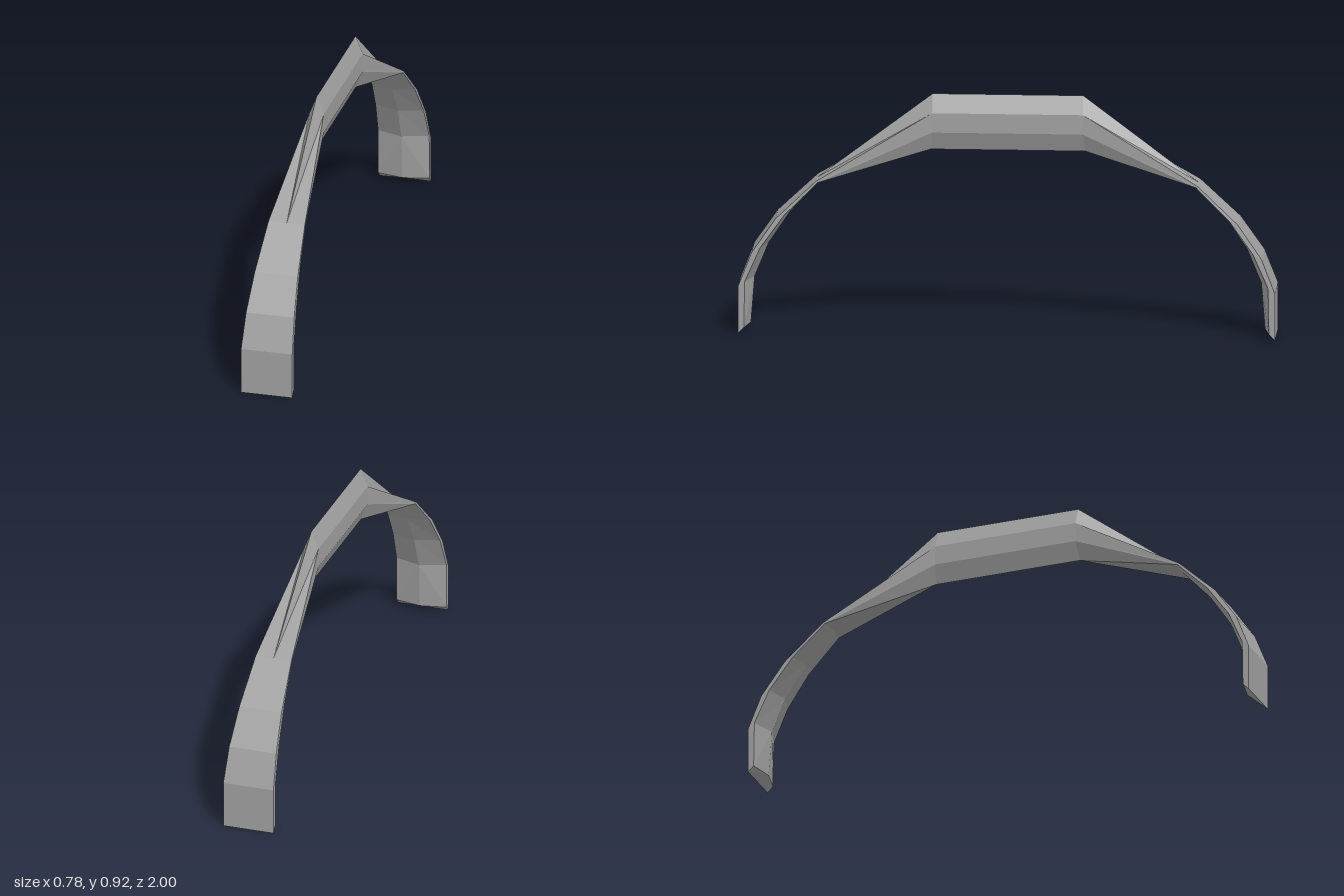
import * as THREE from 'three';

// Six-sided section, listed as [across, up, along], counter-clockwise about the travel direction.
function section(half, outer, outerMid, inner, innerMid) {
  return [
    [0, outerMid[1], outerMid[0]],
    [-half, outer[1], outer[0]],
    [-half, inner[1], inner[0]],
    [0, innerMid[1], innerMid[0]],
    [half, inner[1], inner[0]],
    [half, outer[1], outer[0]],
  ];
}

// Faceted skin through the sections, optionally closed at the far end.
function loft(rings, capEnd) {
  const pos = [];
  const tri = (a, b, c) => pos.push(...a, ...b, ...c);
  for (let i = 0; i < rings.length - 1; i++) {
    for (let j = 0; j < 6; j++) {
      const k = (j + 1) % 6;
      const a = rings[i][j], b = rings[i][k], c = rings[i + 1][k], d = rings[i + 1][j];
      // mirrored diagonals keep the two halves of the band alike
      if (j < 3) { tri(a, b, d); tri(b, c, d); }
      else { tri(a, b, c); tri(a, c, d); }
    }
  }
  if (capEnd) {
    const e = rings[rings.length - 1];
    for (let j = 0; j < 4; j++) tri(e[3], e[(4 + j) % 6], e[(5 + j) % 6]);
  }
  const geo = new THREE.BufferGeometry();
  geo.setAttribute('position', new THREE.Float32BufferAttribute(pos, 3));
  geo.computeVertexNormals();
  return geo;
}

export function createModel() {
  const grey = new THREE.MeshStandardMaterial({ color: 0xa0a0a0, flatShading: true });
  grey.name = 'grey';

  const model = new THREE.Group();
  model.name = 'arch';
  const band = new THREE.Group();
  band.name = 'band';
  band.rotation.y = 0.2965;
  model.add(band);

  // Upright grip end, then flat strap sections down to the foot
  const gripEnd = section(0.028, [0.285, 0.845], [0.285, 0.915], [0.285, 0.77], [0.292, 0.7]);
  // half width, outer [along, up], inner edge along, inner ridge along, inner up
  const strap = [
    [0.071, [0.722, 0.585], 0.715, 0.708, 0.58],
    [0.072, [0.733, 0.575], 0.722, 0.714, 0.573],
    [0.084, [0.875, 0.44], 0.842, 0.822, 0.455],
    [0.094, [0.965, 0.31], 0.932, 0.905, 0.33],
    [0.1, [1.0155, 0.18], 0.99, 0.958, 0.2],
    [0.1, [1.0155, 0], 0.993, 0.972, 0.022],
  ].map(([half, outer, edge, ridge, up]) => section(half, outer, outer, [edge, up], [ridge, up]));

  // Grip bar along the top; its far end is the near end turned half round
  const farEnd = gripEnd.map(([x, y, z]) => [x, y, -z]);
  const grip = new THREE.Mesh(loft([farEnd, gripEnd], false), grey);
  grip.name = 'grip';
  band.add(grip);

  // Two equal legs, one turned half round
  const legGeo = loft([gripEnd, ...strap], true);
  ['frontLeg', 'backLeg'].forEach((name, i) => {
    const leg = new THREE.Mesh(legGeo, grey);
    leg.name = name;
    leg.rotation.y = i * Math.PI;
    band.add(leg);
  });
  return model;
}
